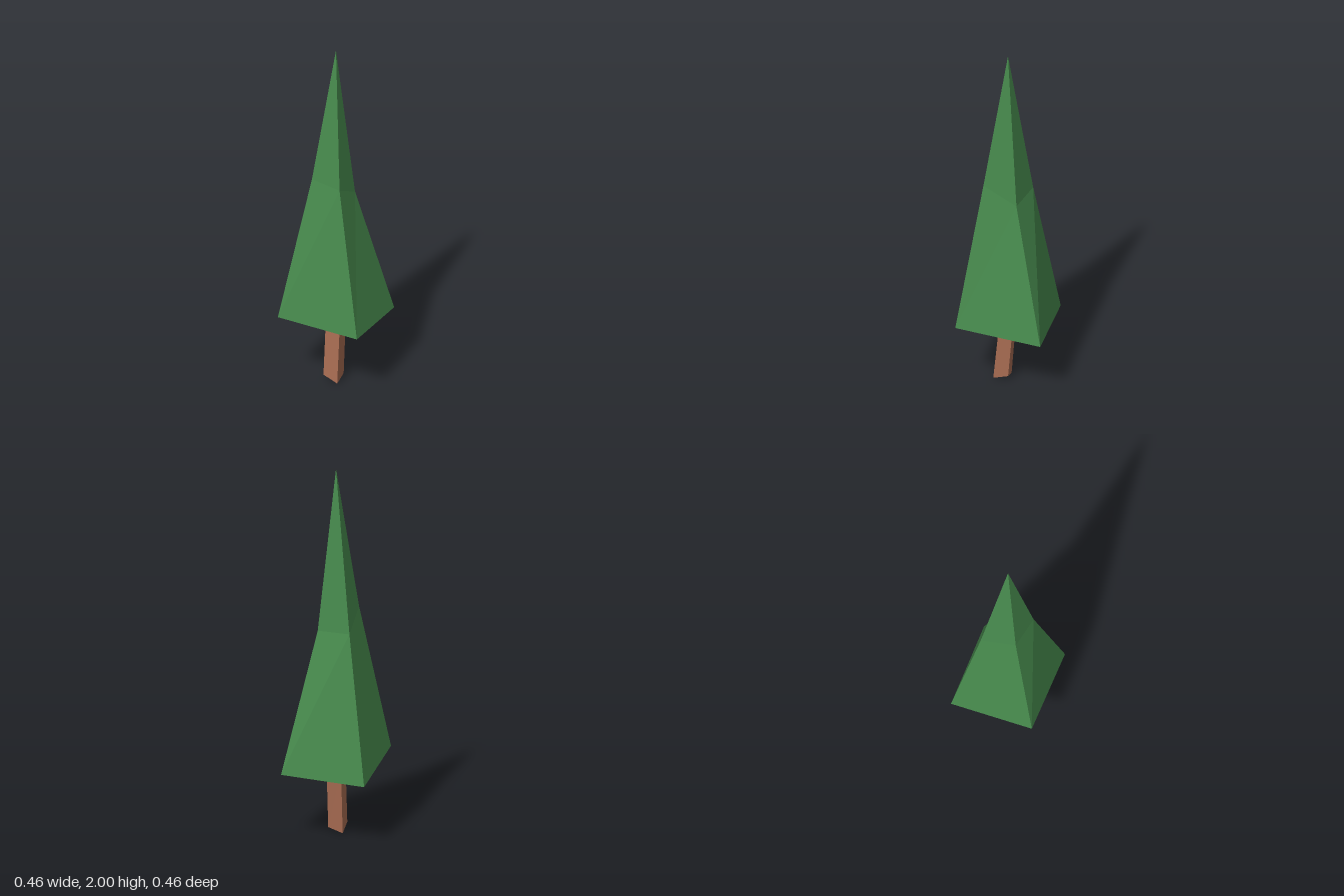
import * as THREE from 'three';

const leafGreen = new THREE.MeshStandardMaterial({ color: 0x478a4d });
leafGreen.name = 'leafGreen';
const barkBrown = new THREE.MeshStandardMaterial({ color: 0xa86c52 });
barkBrown.name = 'barkBrown';

// Cross-sections run front left, front right, back right, back left
const trunkBottom = [[-0.04, 0.04, 0.07], [0.04, 0.005, 0.07], [0.04, 0.027, -0.01], [-0.04, 0, -0.01]];
const trunkTop = [[-0.04, 0.4, 0.037], [0.04, 0.355, 0.037], [0.04, 0.36, -0.037], [-0.04, 0.36, -0.037]];
const skirt = [[-0.23, 0.43, 0.23], [0.23, 0.41, 0.23], [0.23, 0.36, -0.23], [-0.23, 0.335, -0.23]];
const waist = [[-0.1, 1.23, 0.085], [0.075, 1.22, 0.115], [0.08, 1.12, -0.065], [-0.11, 1.13, -0.11]];
const tip = Array(4).fill([0, 2, 0]);

// Joins four-cornered sections from bottom to top with flat faces
function loft(name, material, sections, capBottom) {
  const points = [];
  for (let s = 0; s < sections.length - 1; s++) {
    const a = sections[s], b = sections[s + 1];
    for (let i = 0; i < 4; i++) {
      const j = (i + 1) % 4;
      points.push(a[i], a[j], b[j]);
      if (b !== tip) points.push(a[i], b[j], b[i]);
    }
  }
  if (capBottom) {
    const [p, q, r, t] = sections[0];
    points.push(p, r, q, p, t, r);
  }
  const geometry = new THREE.BufferGeometry();
  geometry.setAttribute('position', new THREE.Float32BufferAttribute(points.flat(), 3));
  geometry.computeVertexNormals();
  const mesh = new THREE.Mesh(geometry, material);
  mesh.name = name;
  return mesh;
}

export function createModel() {
  const tree = new THREE.Group();
  tree.name = 'tree';
  // Leaning trunk with an uneven foot
  tree.add(loft('trunk', barkBrown, [trunkBottom, trunkTop], true));
  // Foliage with its underside sloping in to the trunk
  tree.add(loft('foliage', leafGreen, [trunkTop, skirt, waist, tip], false));
  return tree;
}
